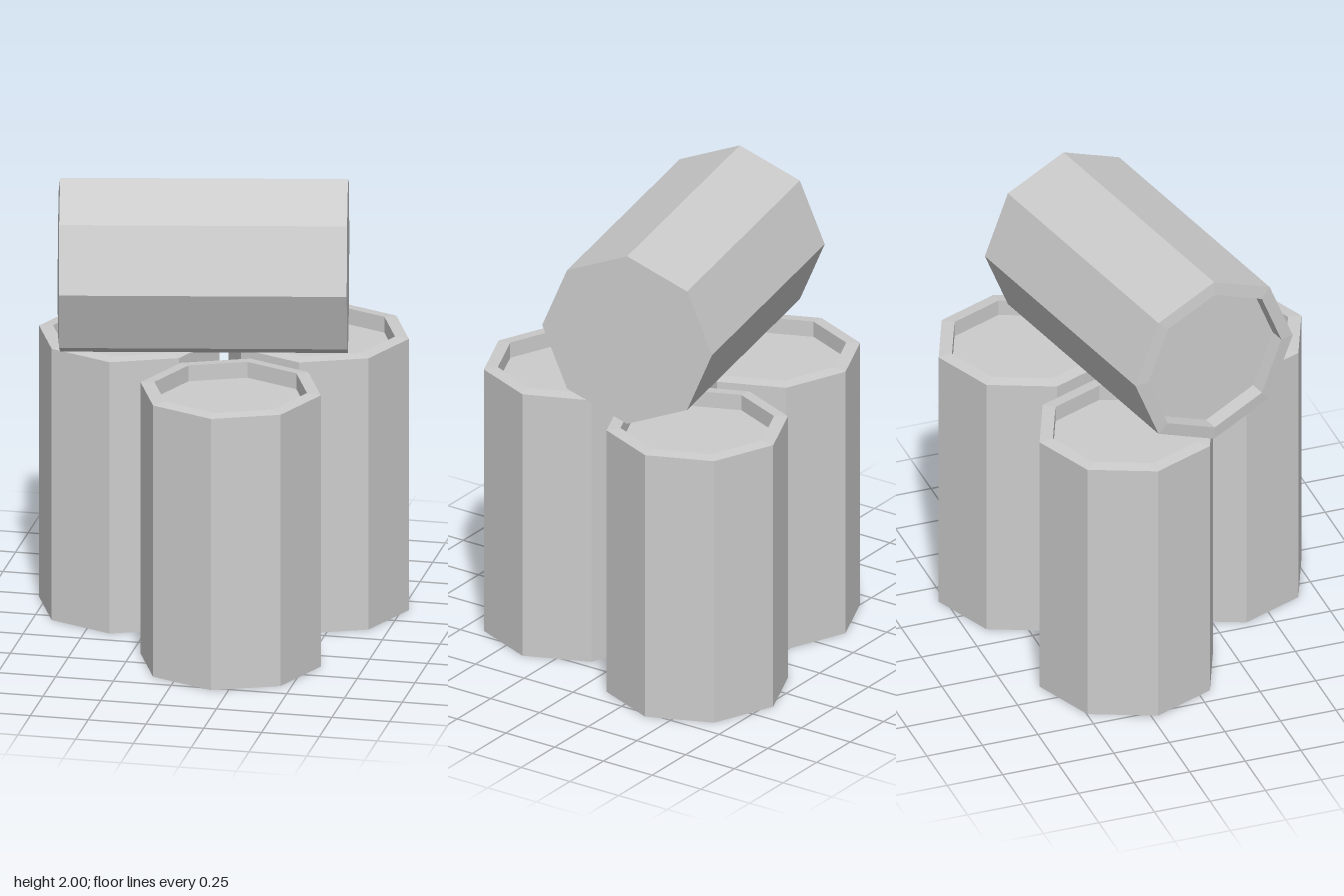
import * as THREE from 'three';

const RADIUS = 0.39, INNER = 0.33, HEIGHT = 1.217, SIDES = 8;

// Eight-sided can: closed base, straight wall, slightly raised rim, recessed lid
function canGeometry() {
  const profile = [
    [0, 0], [RADIUS, 0], [RADIUS, HEIGHT],
    [INNER, HEIGHT + 0.006], [INNER, HEIGHT - 0.065], [0, HEIGHT - 0.065],
  ].map(([r, y]) => new THREE.Vector2(r, y));
  // Separate the faces so that every facet is shaded flat
  const geometry = new THREE.LatheGeometry(profile, SIDES).toNonIndexed();
  geometry.computeVertexNormals();
  return geometry;
}

export function createModel() {
  const group = new THREE.Group();
  group.name = 'stackedCans';

  const metal = new THREE.MeshStandardMaterial({ color: 0xcccccc });
  metal.name = 'light grey metal';
  const geometry = canGeometry();

  // Three standing cans
  const standing = [
    ['standingCanBackLeft', 0.39, -0.39],
    ['standingCanRight', -0.393, -0.222],
    ['standingCanFront', 0.178, 0.385],
  ];
  for (const [name, x, z] of standing) {
    const can = new THREE.Mesh(geometry, metal);
    can.name = name;
    can.position.set(x, 0, z);
    group.add(can);
  }

  // One can lying across the top, its open end towards -x
  const lying = new THREE.Group();
  lying.name = 'lyingCan';
  const body = new THREE.Mesh(geometry, metal);
  body.name = 'lyingCanBody';
  body.rotation.z = Math.PI / 2;
  body.position.x = HEIGHT / 2;
  lying.add(body);
  lying.rotation.y = 0.2;
  lying.position.set(-0.028, 1.61, -0.032);
  group.add(lying);

  return group;
}
